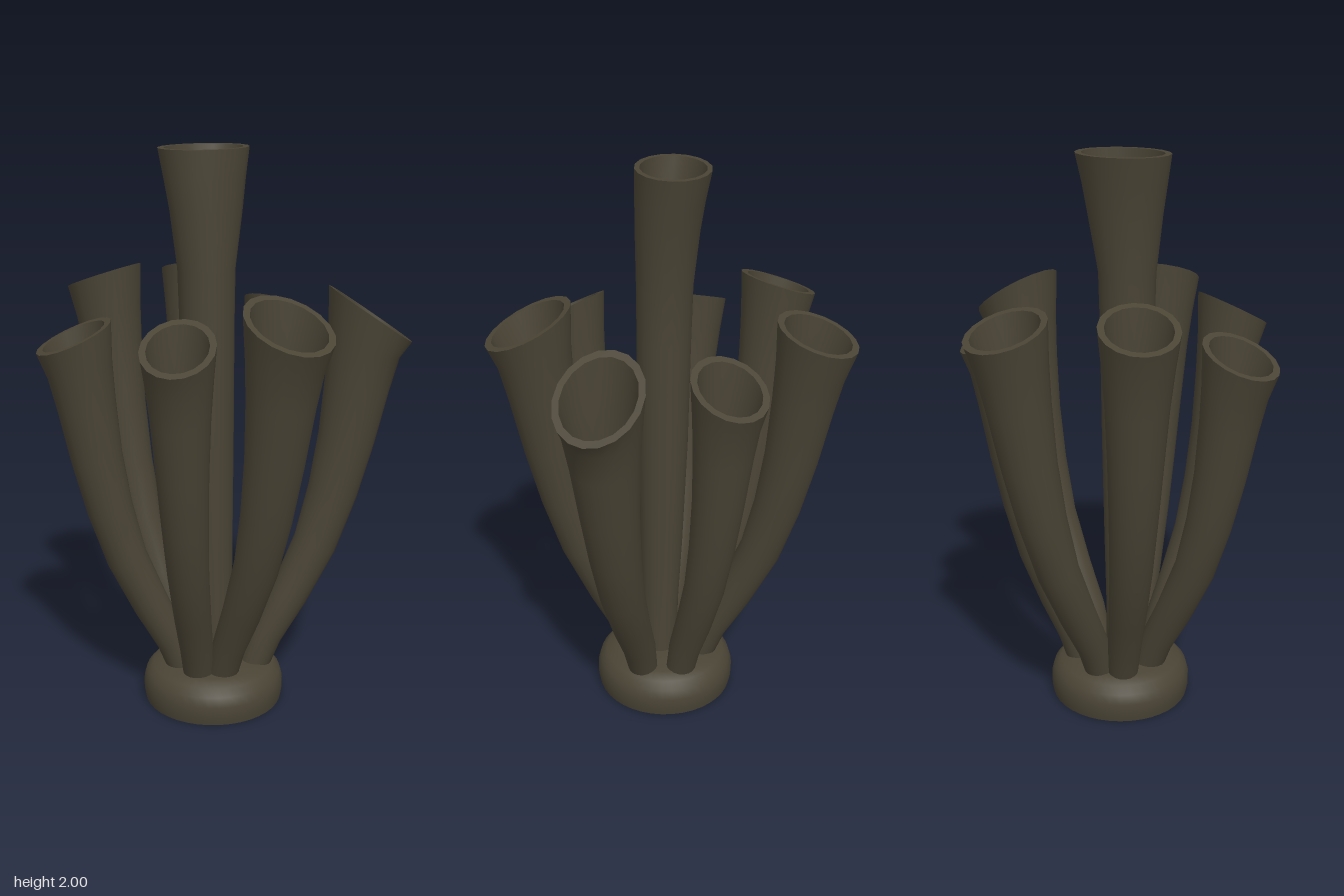
import * as THREE from 'three';
import { toCreasedNormals } from 'three/addons/utils/BufferGeometryUtils.js';

const SIDES = 18;
const WALL = 0.022;

// Skin a hollow horn: rings climb the outside, cross the lip and go down inside.
// ring: { x, y, z, r, tilt, squash }, leaning along the horizontal direction (dx, dz)
function hornGeometry(rings, dx, dz) {
  const inner = rings.slice(2).reverse().map((k) => ({ ...k, r: k.r - WALL }));
  const path = [...rings, ...inner];
  const pos = [];
  const index = [];
  for (const { x, y, z, r, tilt, squash } of path) {
    for (let j = 0; j < SIDES; j++) {
      const a = (j / SIDES) * Math.PI * 2;
      const along = Math.cos(a) * r * squash;
      const across = Math.sin(a) * r;
      const flat = along * Math.cos(tilt);
      pos.push(x + dx * flat + dz * across, y - along * Math.sin(tilt), z + dz * flat - dx * across);
    }
  }
  for (let i = 0; i < path.length - 1; i++) {
    for (let j = 0; j < SIDES; j++) {
      const k = (j + 1) % SIDES;
      const a = i * SIDES + j, b = i * SIDES + k;
      index.push(a, b, b + SIDES, a, b + SIDES, a + SIDES);
    }
  }
  // floor of the bore
  const floor = path[path.length - 1];
  const c = pos.length / 3;
  const first = (path.length - 1) * SIDES;
  pos.push(floor.x, floor.y, floor.z);
  for (let j = 0; j < SIDES; j++) index.push(first + j, first + ((j + 1) % SIDES), c);

  const g = new THREE.BufferGeometry();
  g.setAttribute('position', new THREE.Float32BufferAttribute(pos, 3));
  g.setIndex(index);
  return toCreasedNormals(g, 0.7);
}

// Shared growth of the outer horns: height, outward fraction, radius, lean
const GROWTH = [
  [0.1, 0, 0.052, 0.5],
  [0.25, 0.13, 0.06, 0.5],
  [0.4, 0.33, 0.067, 0.48],
  [0.6, 0.56, 0.075, 0.38],
  [0.8, 0.71, 0.084, 0.26],
  [1.0, 0.82, 0.094, 0.2],
  [1.2, 0.9, 0.107, 0.2],
  [1.33, 0.95, 0.12, 0.26],
  [1.45, 1, 0.135, 0.4],
];

// Outer horns: foot x, z; mouth x, y, z, radius, tilt; sideways bend
const HORNS = [
  ['frontHorn', -0.05, 0.1, -0.025, 1.49, 0.46, 0.147, 0.45, 0],
  ['frontLeftHorn', 0.09, 0.09, 0.46, 1.435, 0.255, 0.146, 0.6, 0],
  ['leftHorn', 0.11, -0.04, 0.366, 1.4, -0.166, 0.127, 0.46, 0],
  ['backLeftHorn', 0.01, -0.12, 0.204, 1.505, -0.478, 0.135, 0.33, 0.025],
  ['backRightHorn', -0.07, -0.12, -0.217, 1.53, -0.423, 0.131, 0.36, 0],
  ['rightHorn', -0.13, -0.02, -0.477, 1.39, -0.15, 0.127, 0.4, 0],
  ['frontRightHorn', -0.12, 0.06, -0.34, 1.425, 0.307, 0.123, 0.5, 0],
];

// Central horn: x, y, z, radius, front-to-back squash
const CENTRE = [
  [-0.03, 0.1, 0.02, 0.065, 1],
  [-0.035, 0.35, 0.018, 0.07, 1],
  [-0.04, 0.6, 0.012, 0.079, 1],
  [-0.045, 1.0, 0.005, 0.09, 1],
  [-0.045, 1.4, 0, 0.094, 1],
  [-0.045, 1.6, -0.003, 0.099, 0.98],
  [-0.04, 1.8, -0.012, 0.128, 0.85],
  [-0.04, 1.9, -0.02, 0.144, 0.81],
  [-0.038, 2.0, -0.03, 0.162, 0.78],
];

export function createModel() {
  const group = new THREE.Group();
  const clay = new THREE.MeshStandardMaterial({ color: 0x4a4435 });
  clay.name = 'darkOliveClay';
  const add = (name, geometry) => {
    const mesh = new THREE.Mesh(geometry, clay);
    mesh.name = name;
    group.add(mesh);
    return mesh;
  };

  // rounded foot
  const profile = [[0, 0], [0.25, 0], [0.256, 0.03], [0.256, 0.07], [0.246, 0.105], [0.222, 0.132], [0.18, 0.146], [0, 0.15]]
    .map(([r, y]) => new THREE.Vector2(r, y));
  const base = add('base', toCreasedNormals(new THREE.LatheGeometry(profile, 40), 0.7));
  base.position.x = -0.022;

  // ring of outward curving horns
  for (const [name, fx, fz, mx, my, mz, radius, mouthTilt, bend] of HORNS) {
    const length = Math.hypot(mx - fx, mz - fz);
    const dx = (mx - fx) / length, dz = (mz - fz) / length;
    const rings = GROWTH.map(([h, f, r, lean], i) => {
      const side = bend * Math.sin(Math.PI * f);
      const mouth = i === GROWTH.length - 1;
      const grow = THREE.MathUtils.lerp(1, radius / 0.135, f);
      return {
        x: fx + dx * length * f - Math.abs(dz) * side,
        y: 0.1 + (h - 0.1) * (my - 0.1) / 1.35,
        z: fz + dz * length * f - dx * side,
        r: r * grow,
        tilt: mouth ? mouthTilt : lean,
        squash: mouth ? 1 / Math.cos(mouthTilt) : 1,
      };
    });
    add(name, hornGeometry(rings, dx, dz));
  }

  // tall upright horn in the middle
  const centre = CENTRE.map(([x, y, z, r, squash]) => ({ x, y, z, r, tilt: 0, squash }));
  add('centreHorn', hornGeometry(centre, 0, 1));

  return group;
}
